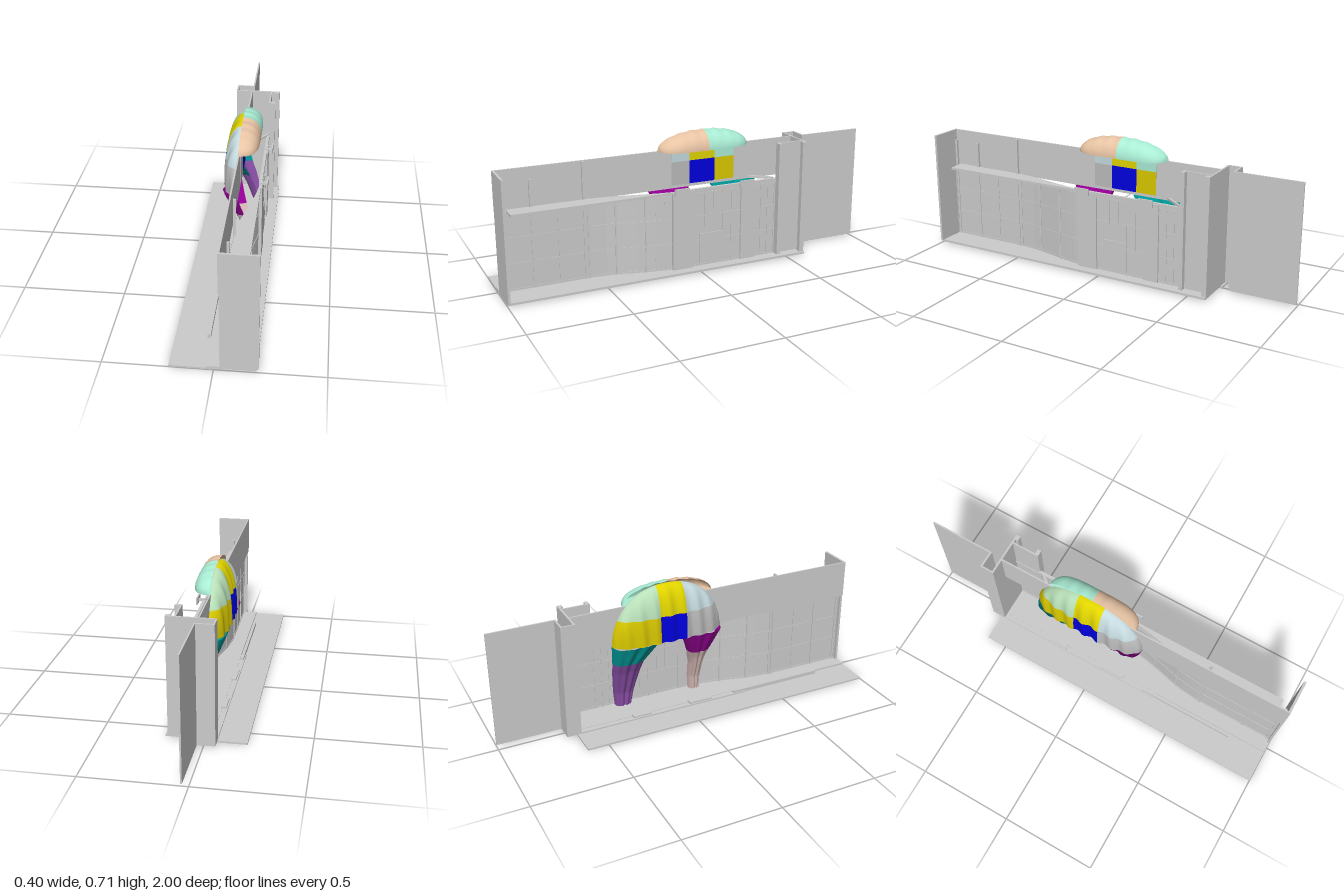
import * as THREE from 'three';

const GREY = 0xcccccc;
const lerp = THREE.MathUtils.lerp;
const mat = (color, side = THREE.FrontSide) => new THREE.MeshStandardMaterial({ color, side });
const wallMat = mat(GREY);

// Piecewise-linear lookup in [[key, value], ...] with rising keys
function table(rows, k) {
  for (let i = 1; i < rows.length; i++) {
    const [a, va] = rows[i - 1], [b, vb] = rows[i];
    if (k <= b) return lerp(va, vb, THREE.MathUtils.clamp((k - a) / (b - a), 0, 1));
  }
  return rows[rows.length - 1][1];
}

// Box given by its limits
function box(parent, name, x0, x1, y0, y1, z0, z1, material = wallMat) {
  const m = new THREE.Mesh(new THREE.BoxGeometry(x1 - x0, y1 - y0, z1 - z0), material);
  m.position.set((x0 + x1) / 2, (y0 + y1) / 2, (z0 + z1) / 2);
  m.name = name;
  parent.add(m);
  return m;
}

// Upright or flat bar between two plan points [x, z]
function run(parent, name, p, q, y0, y1, thick) {
  const dx = q[0] - p[0], dz = q[1] - p[1];
  const m = new THREE.Mesh(new THREE.BoxGeometry(thick, y1 - y0, Math.hypot(dx, dz)), wallMat);
  m.position.set((p[0] + q[0]) / 2, (y0 + y1) / 2, (p[1] + q[1]) / 2);
  m.rotation.y = Math.atan2(dx, dz);
  m.name = name;
  parent.add(m);
}

// Smooth sheet from fn(u, v) -> [x, y, z]
function sheet(parent, name, color, fn, nu = 40, nv = 24) {
  const g = new THREE.PlaneGeometry(1, 1, nu, nv), p = g.attributes.position;
  for (let j = 0, i = 0; j <= nv; j++)
    for (let k = 0; k <= nu; k++, i++) p.setXYZ(i, ...fn(k / nu, j / nv));
  g.computeVertexNormals();
  const m = new THREE.Mesh(g, mat(color, THREE.DoubleSide));
  m.name = name;
  parent.add(m);
}

// Draped arch: outline height and bulge
const WALL = 0.027, ZC = -0.08, ZR = 0.3;
const archT = z => THREE.MathUtils.clamp((z - ZC) / ZR, -1, 1);
const archHeight = z => 0.41 + 0.29 * Math.sqrt(Math.max(0, 1 - Math.abs(archT(z)) ** 2.2));
const fold = a => 0.006 * Math.cos(a);
function archX(y, z) {
  const t = archT(z), h = archHeight(z) - 0.41;
  const r = h > 1e-4 ? Math.min(1, (y - 0.41) / h) : 1;
  const b = Math.sqrt(Math.max(0, 1 - t ** 4)) * Math.sqrt(Math.max(0, 1 - r ** 3));
  return WALL - b * (0.078 + fold(t * 24 + r * 1.5));
}

function createArch() {
  const arch = new THREE.Group();
  arch.name = 'drapedArch';
  const cols = [[-0.38, -0.14], [-0.14, 0], [0, 0.22]];
  const upper = [0xb8dfb8, 0xe0d400, 0xc4d9de], lower = [0xd8c800, 0x0000dd, 0xbbbbbb];
  cols.forEach(([a, b], i) => {
    [[0.41, 0.55, lower[i], 'lowerDrape'], [0.55, 0.72, upper[i], 'upperDrape']].forEach(([y0, y1, c, n]) =>
      sheet(arch, n, c, (u, v) => {
        const z = lerp(a, b, u), h = archHeight(z);
        const y = lerp(Math.min(y0, h), Math.min(y1, h), 1 - (1 - v) ** 2);
        return [archX(y, z), y, z];
      }));
  });

  // Rounded hood over the wall top, in two halves
  const reach = 0.245;
  [[-1, 0, 0xa9ecd4], [0, 1, 0xe8c4a4]].forEach(([a, b, c]) => {
    const plan = (u, v) => {
      const e = lerp(a, b, u), z = -0.07 + reach * e;
      const w = 0.093 * Math.sqrt(Math.max(0, 1 - Math.abs(e) ** 5));
      const s = Math.sin(v * Math.PI / 2);
      const h = 0.09 * Math.sqrt(Math.max(0, 1 - Math.abs(e) ** 2.2)) + 0.002 * Math.cos(e * 24) * (1 - e * e);
      return [WALL + w * s, 0.615 + h * Math.sqrt(Math.max(0, 1 - s ** 2.4)), z];
    };
    sheet(arch, 'hood', c, plan);
    sheet(arch, 'hoodUnderside', c, (u, v) => {
      const [x, , z] = plan(u, v);
      return [x, 0.615, z];
    }, 24, 4);
  });

  // Two tapering legs sweeping back under the wall to the floor
  const front = [[0.02, 0.085], [0.1, 0.075], [0.24, 0.027], [0.28, 0.008], [0.34, -0.02], [0.41, -0.05]];
  const legs = [
    { lo: [[0.02, -0.34], [0.2, -0.36], [0.41, -0.38]], hi: [[0.02, -0.25], [0.2, -0.22], [0.3, -0.2], [0.41, -0.12]],
      split: 0.3, top: 0x009999, low: 0x8a4fa8 },
    { lo: [[0.02, 0.085], [0.2, 0.07], [0.28, 0.05], [0.41, 0]], hi: [[0.02, 0.145], [0.2, 0.15], [0.28, 0.17], [0.41, 0.22]],
      split: 0.28, top: 0x990099, low: 0xd8bcb8 },
  ];
  legs.forEach(l => [[0.02, l.split, l.low, 'lowerLeg'], [l.split, 0.41, l.top, 'upperLeg']].forEach(([y0, y1, c, n]) =>
    sheet(arch, n, c, (u, v) => {
      const y = lerp(y0, y1, v), t = 2 * u - 1;
      const depth = table([[0.02, 0.03], [0.28, 0.05], [0.41, 0.075]], y);
      const x = table(front, y) + depth * (1 - Math.sqrt(1 - t ** 4)) + 0.7 * fold(t * 11) * (1 - t * t);
      return [x, y, lerp(table(l.lo, y), table(l.hi, y), u)];
    })));

  // Flat coloured fields showing on the inner side of the wall
  [[0, 0.1, 0xbbbbbb, 0xc4d9de], [-0.14, 0, 0x0000dd, 0xe0d400], [-0.25, -0.14, 0xd8c800, 0xa9ecd4]].forEach(([a, b, c, d]) => {
    box(arch, 'innerField', 0.028, 0.033, 0.43, 0.55, a, b, mat(c));
    box(arch, 'innerField', 0.028, 0.033, 0.55, 0.615, a, b, mat(d));
  });
  return arch;
}

function createBuilding() {
  const g = new THREE.Group();
  g.name = 'building';
  // Ground and floor
  box(g, 'pavement', -0.2, 0.005, 0, 0.009, -0.61, 1);
  box(g, 'floor', -0.03, 0.19, 0.007, 0.018, -0.6, 1);
  box(g, 'floorStrip', -0.058, -0.03, 0.008, 0.016, -0.6, 0.35);
  box(g, 'curb', -0.052, -0.036, 0.009, 0.028, 0.28, 0.8);
  [[0.02, 0.15], [-0.3, -0.2]].forEach(([a, b]) => box(g, 'lowStep', -0.05, -0.02, 0.01, 0.024, a, b));

  // Walls
  box(g, 'upperWall', 0.023, 0.031, 0.415, 0.615, -0.6, 1);
  box(g, 'endWall', 0.027, 0.2, 0.018, 0.615, 0.988, 1);
  box(g, 'sideWall', 0.029, 0.037, 0.01, 0.615, -1, -0.656);
  box(g, 'returnWall', -0.058, 0.037, 0.01, 0.615, -0.665, -0.655);
  box(g, 'returnWall', -0.058, -0.05, 0.01, 0.615, -0.665, -0.59);
  box(g, 'backEndWall', -0.058, 0.18, 0.01, 0.615, -0.6, -0.59);
  box(g, 'cornerPost', 0.155, 0.18, 0.018, 0.615, -0.59, -0.575);
  box(g, 'cornerPost', 0.13, 0.165, 0.018, 0.615, -0.465, -0.445);
  box(g, 'pierWall', 0.13, 0.138, 0.018, 0.615, -0.59, -0.445);

  // Glazed front: straight, S-curved, then straight
  const curve = new THREE.CatmullRomCurve3([[0.05, 0.55], [0.062, 0.44], [0.09, 0.32], [0.115, 0.2], [0.13, 0.08]]
    .map(([x, z]) => new THREE.Vector3(x, 0, z)));
  const path = [[0.05, 0.988], [0.05, 0.83], [0.05, 0.7], ...curve.getPoints(10).map(p => [p.x, p.z]), [0.13, -0.59]];
  for (let i = 1; i < path.length; i++) {
    run(g, 'glazing', path[i - 1], path[i], 0.018, 0.415, 0.004);
    [0.02, 0.15, 0.28, 0.4].forEach(y => run(g, 'rail', path[i - 1], path[i], y, y + 0.008, 0.009));
  }
  path.filter((p, i) => i < 3 || i % 3 === 0).forEach(([x, z]) =>
    box(g, 'mullion', x - 0.005, x + 0.005, 0.018, 0.415, z - 0.004, z + 0.004));
  [-0.04, -0.09, -0.14, -0.19, -0.36, -0.4, -0.44].forEach(z =>
    box(g, 'mullion', 0.125, 0.135, 0.018, 0.415, z - 0.003, z + 0.003));
  box(g, 'doorPanel', 0.131, 0.137, 0.03, 0.19, -0.14, -0.01);

  // Canopy wedge over the curved front, and the ledge behind it
  const plan = new THREE.Shape([[0.048, 0.95], [0.135, 0.95], [0.135, 0.08], ...curve.getPoints(8).reverse().map(p => [p.x, p.z])]
    .map(([x, z]) => new THREE.Vector2(x, -z)));
  const canopy = new THREE.Mesh(new THREE.ExtrudeGeometry(plan, { depth: 0.012, bevelEnabled: false }), wallMat);
  canopy.rotation.x = -Math.PI / 2;
  canopy.position.y = 0.415;
  canopy.name = 'canopy';
  g.add(canopy);
  box(g, 'headBeam', 0.122, 0.138, 0.41, 0.43, -0.45, 0.1);
  run(g, 'brace', [0.05, -0.33], [0.13, -0.43], 0.425, 0.437, 0.012);

  // Columns with T-shaped brackets
  [[0.03, 0.14, 0.1], [-0.32, -0.24, -0.26]].forEach(([a, b, z]) => {
    box(g, 'column', 0.126, 0.142, 0.018, 0.425, a, b);
    box(g, 'bracketArm', 0.125, 0.165, 0.425, 0.436, z - 0.006, z + 0.006);
    box(g, 'bracketHead', 0.16, 0.168, 0.415, 0.45, z - 0.04, z + 0.04);
  });

  // Posts against the wall
  [[0.975, 0.56], [0.83, 0.56], [0.57, 0.615]].forEach(([z, h]) =>
    box(g, 'wallPost', 0.043, 0.056, 0.018, h, z - 0.006, z + 0.006));
  return g;
}

export function createModel() {
  const model = new THREE.Group();
  model.name = 'facadeWithDrapedArch';
  model.add(createBuilding(), createArch());
  return model;
}
